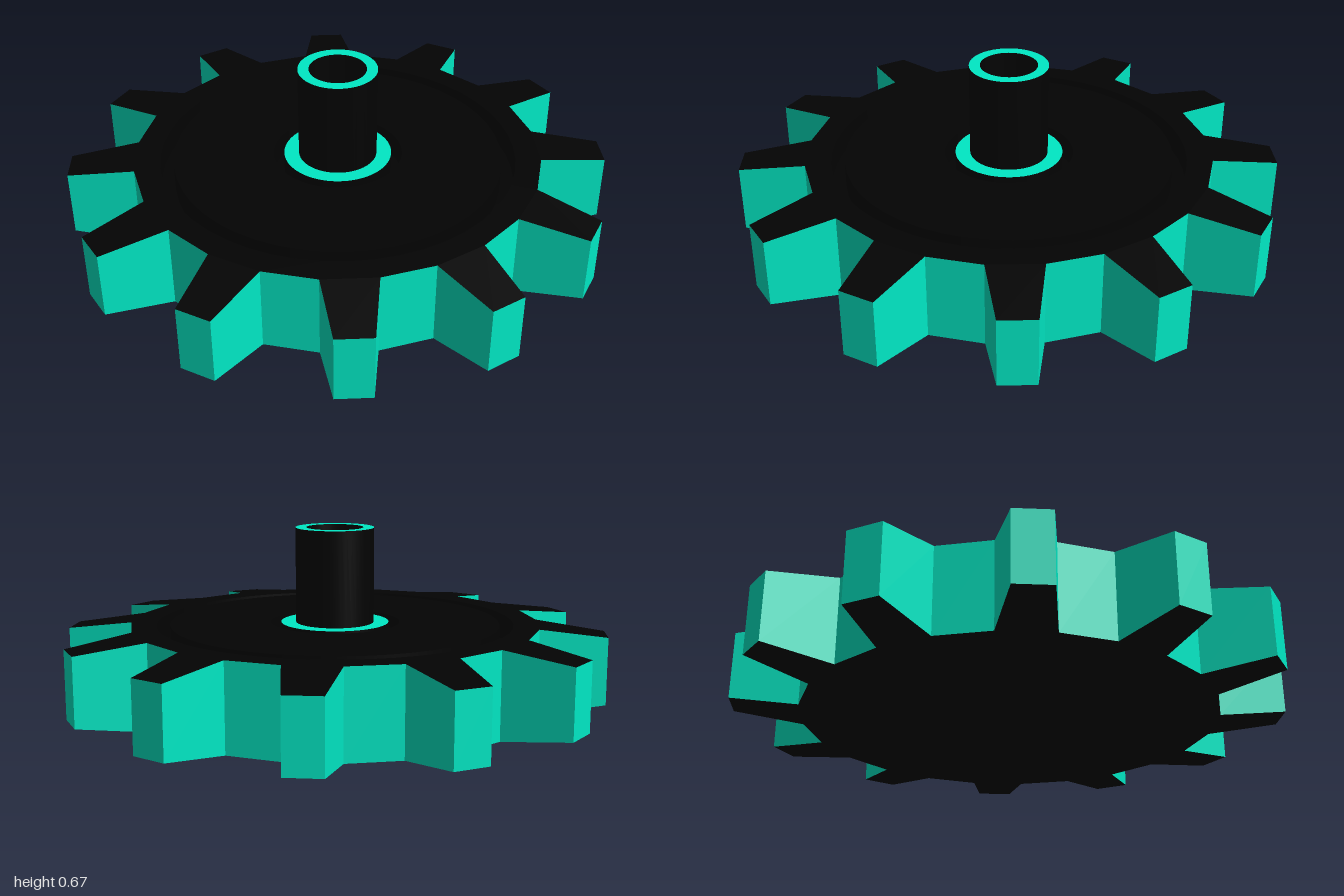
import * as THREE from 'three';
import { mergeGeometries } from 'three/addons/utils/BufferGeometryUtils.js';

const TEETH = 12, ROOT = 0.755, TIP = 1.0, TOP = 0.315, BEVEL = 0.032;
const GROOVE = 0.22, SHAFT = 0.145, BORE = 0.105, HEIGHT = 0.667;
const STEP = Math.PI / TEETH; // one tooth or one gap

const black = new THREE.MeshStandardMaterial({ color: 0x030303 });
const teal = new THREE.MeshStandardMaterial({ color: 0x00e8c4 });

// Flat quads, corners counter-clockwise
function quads(list) {
  const pos = [];
  for (const [a, b, c, d] of list) pos.push(...a, ...b, ...c, ...a, ...c, ...d);
  const g = new THREE.BufferGeometry();
  g.setAttribute('position', new THREE.Float32BufferAttribute(pos, 3));
  g.computeVertexNormals();
  return g;
}

// Revolved profile whose corners stay sharp
function revolve(points) {
  const parts = [];
  for (let i = 0; i + 1 < points.length; i++) {
    const pair = [points[i], points[i + 1]].map(([r, y]) => new THREE.Vector2(r, y));
    parts.push(new THREE.LatheGeometry(pair, 48));
  }
  return mergeGeometries(parts);
}

export function createModel() {
  const group = new THREE.Group();
  const add = (name, geometry, material) => {
    const mesh = new THREE.Mesh(geometry, material);
    mesh.name = name;
    group.add(mesh);
  };

  // Gear outline: each corner has a lower and an upper point
  const corner = (r, a, inset) => {
    const x = r * Math.sin(a), z = -r * Math.cos(a);
    return { lo: [x, inset, z], hi: [x, TOP - inset, z] };
  };
  const outline = [], caps = [];
  for (let i = 0; i < TEETH; i++) {
    const a = i * 2 * STEP;
    const b0 = corner(ROOT, a, 0), b1 = corner(ROOT, a + STEP, 0);
    const t0 = corner(TIP, a + STEP * 0.25, BEVEL), t1 = corner(TIP, a + STEP * 0.75, BEVEL);
    outline.push(b0, t0, t1, b1);
    caps.push([b0.hi, b1.hi, t1.hi, t0.hi], [t0.lo, t1.lo, b1.lo, b0.lo]);
  }
  const walls = outline.map((p, i) => {
    const q = outline[(i + 1) % outline.length];
    return [q.lo, p.lo, p.hi, q.hi];
  });
  add('gearRim', quads(walls), teal);
  add('toothCaps', quads(caps), black);

  // Flat border around the grooved face, and the underside
  const border = new THREE.Shape();
  for (let i = 0; i < TEETH * 2; i++) {
    const x = ROOT * Math.cos(i * STEP), y = ROOT * Math.sin(i * STEP);
    if (i) border.lineTo(x, y); else border.moveTo(x, y);
  }
  border.closePath();
  border.holes.push(new THREE.Path().absarc(0, 0, 0.66, 0, Math.PI * 2, true));
  add('topBorder', new THREE.ShapeGeometry(border, 24).rotateX(-Math.PI / 2).translate(0, TOP, 0), black);
  add('underside', new THREE.CircleGeometry(ROOT, TEETH * 2).rotateX(Math.PI / 2), black);

  // Level face between two ring grooves
  add('groovedFace', revolve([
    [0.66, TOP], [0.66, GROOVE], [0.61, GROOVE], [0.61, TOP],
    [0.24, TOP], [0.24, GROOVE], [0.2, GROOVE], [0.2, TOP],
  ]), black);

  // Hub and hollow shaft
  add('hubCollar', revolve([[0.2, TOP], [SHAFT, TOP]]), teal);
  add('shaft', revolve([[SHAFT, TOP], [SHAFT, HEIGHT]]), black);
  add('shaftRim', revolve([[SHAFT, HEIGHT], [BORE, HEIGHT]]), teal);
  add('shaftBore', revolve([[BORE, HEIGHT], [BORE, 0.3], [0, 0.3]]), black);

  return group;
}
